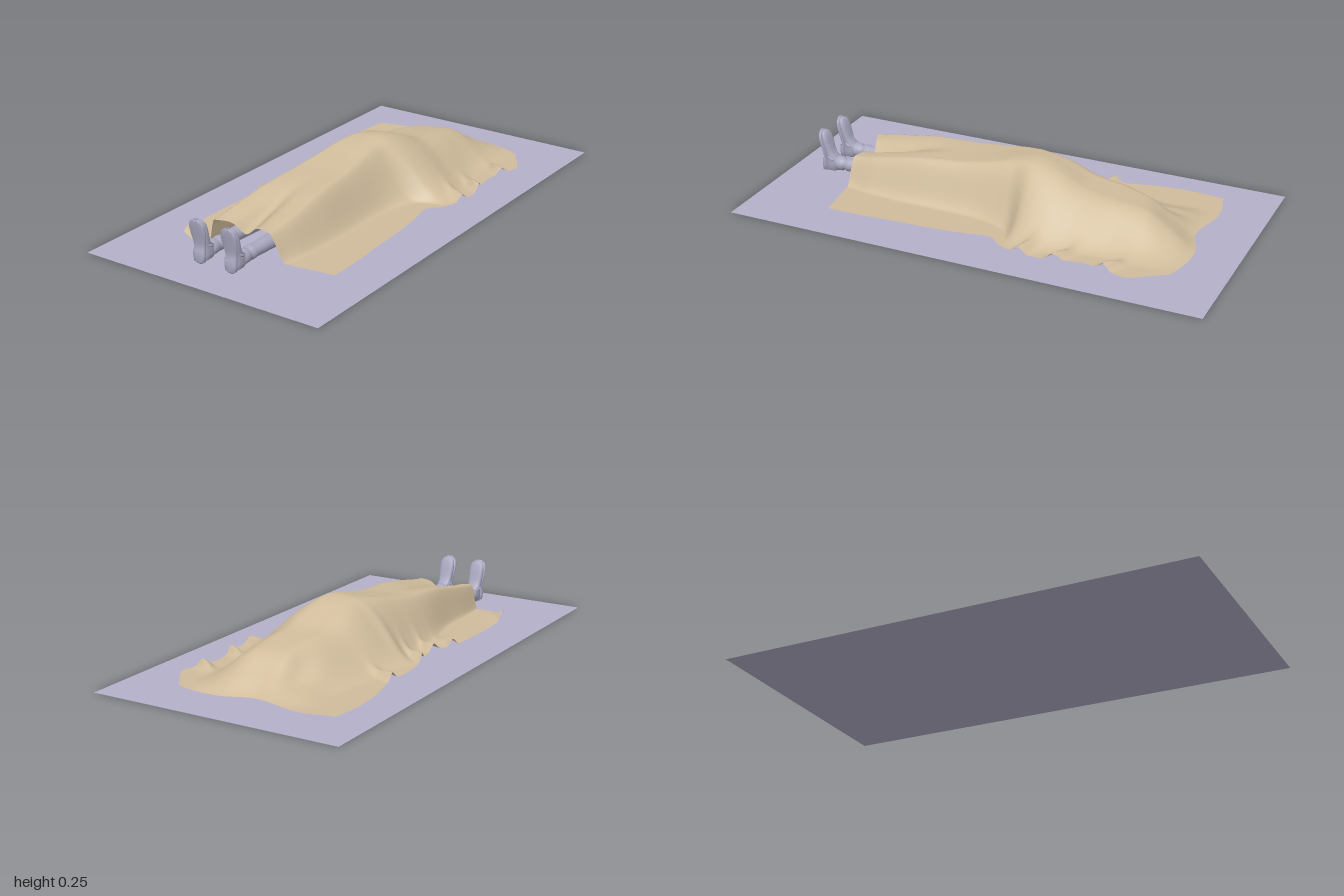
import * as THREE from 'three';

const clothMat = new THREE.MeshStandardMaterial({ name: 'sand cloth', color: 0xd0bc9c, side: THREE.DoubleSide });
const groundMat = new THREE.MeshStandardMaterial({ name: 'lavender ground', color: 0xb3b0c9, side: THREE.DoubleSide });
const bootMat = new THREE.MeshStandardMaterial({ name: 'lavender grey', color: 0xaaa8c0 });

// Cloth sections: z, left edge, right edge, left foot, left shoulder, right shoulder, right foot, height
const SECTIONS = [
  [-0.80, -0.39, 0.31, -0.25, -0.05, 0.10, 0.30, 0.004],
  [-0.70, -0.40, 0.39, -0.28, -0.03, 0.06, 0.30, 0.062],
  [-0.60, -0.40, 0.375, -0.26, -0.04, 0.06, 0.30, 0.122],
  [-0.48, -0.385, 0.355, -0.28, -0.05, 0.07, 0.30, 0.143],
  [-0.34, -0.355, 0.385, -0.30, -0.06, 0.06, 0.34, 0.160],
  [-0.22, -0.36, 0.385, -0.32, -0.06, 0.05, 0.38, 0.205],
  [-0.12, -0.35, 0.36, -0.33, -0.05, 0.05, 0.35, 0.224],
  [-0.04, -0.33, 0.31, -0.29, -0.08, 0.05, 0.24, 0.216],
  [0.06, -0.31, 0.325, -0.27, -0.10, 0.06, 0.20, 0.198],
  [0.20, -0.35, 0.34, -0.25, -0.12, 0.07, 0.19, 0.177],
  [0.40, -0.36, 0.35, -0.20, -0.14, 0.08, 0.19, 0.160],
  [0.58, -0.355, 0.36, -0.19, -0.155, 0.085, 0.18, 0.128],
  [0.69, -0.33, 0.36, -0.185, -0.16, 0.08, 0.16, 0.110],
];
const BACK_HEM = [[-0.40, -0.78], [-0.25, -0.81], [-0.04, -0.78], [0.10, -0.825], [0.25, -0.81], [0.40, -0.75]];
const FRONT_HEM = [[-0.36, 0.66], [-0.32, 0.69], [-0.20, 0.71], [-0.04, 0.66], [0.10, 0.68], [0.37, 0.65]];

// Smooth lookup of one column in a table keyed by its first column
function lookup(table, key, col) {
  const n = table.length - 1;
  let i = 0;
  while (i < n - 1 && key > table[i + 1][0]) i++;
  const t = THREE.MathUtils.clamp((key - table[i][0]) / (table[i + 1][0] - table[i][0]), 0, 1);
  const at = (k) => table[Math.min(n, Math.max(0, k))][col];
  const [a, b, c, d] = [at(i - 1), at(i), at(i + 1), at(i + 2)];
  return b + 0.5 * t * (c - a + t * (2 * a - 5 * b + 4 * c - d + t * (3 * (b - c) + d - a)));
}

const bump = (x, centre, width) => Math.exp(-(((x - centre) / width) ** 2));
const ramp = THREE.MathUtils.smoothstep;

function clothHeight(x, z, left, right) {
  const [fl, sl, sr, fr, top] = [3, 4, 5, 6, 7].map((c) => lookup(SECTIONS, z, c));
  let y = top * ramp(x, fl, sl) * (1 - ramp(x, sr, fr));
  // rounded crown over the body
  y += 0.012 * bump(x, 0.02, 0.07) * bump(z, -0.12, 0.16);
  // sag between the shins
  y -= 0.045 * bump(x, -0.04, 0.04) * ramp(z, 0.25, 0.7);
  // hollow beside the head, and the fold running out from the hip
  y -= 0.03 * bump(x, -0.12, 0.05) * bump(z, -0.62, 0.09);
  y -= 0.018 * bump(z, -0.06 - 0.25 * (x - 0.15), 0.03) * bump(x, 0.22, 0.08);
  y += 0.014 * bump(z, -0.11, 0.03) * bump(x, -0.2, 0.09);
  // puckers along the long hems
  for (const c of [-0.32, -0.05, 0.08, 0.19])
    y += 0.032 * bump(z, c + 0.25 * (x - left), 0.022) * bump(x, left + 0.02, 0.07);
  for (const c of [-0.58, -0.37, -0.22])
    y += 0.03 * bump(z, c - 0.2 * (right - x), 0.025) * bump(x, right - 0.02, 0.06);
  y += 0.025 * bump(x, left, 0.04) * bump(z, 0.66, 0.04);
  return 0.012 + Math.max(0, y);
}

function makeCloth() {
  const geo = new THREE.PlaneGeometry(1, 1, 110, 150).rotateX(-Math.PI / 2);
  const p = geo.attributes.position;
  for (let i = 0; i < p.count; i++) {
    const u = p.getX(i) + 0.5;
    const v = p.getZ(i) + 0.5;
    const key = THREE.MathUtils.lerp(-0.8, 0.69, v);
    const left = lookup(SECTIONS, key, 1);
    const right = lookup(SECTIONS, key, 2);
    const x = THREE.MathUtils.lerp(left, right, u);
    const z = THREE.MathUtils.lerp(lookup(BACK_HEM, x, 1), lookup(FRONT_HEM, x, 1), v);
    p.setXYZ(i, x, clothHeight(x, key, left, right), z);
  }
  geo.computeVertexNormals();
  return new THREE.Mesh(geo, clothMat);
}

// Closed loft through rounded sections stacked in y: [y, half width, z back, z front]
function loftUp(rows, sides = 24) {
  const pos = [];
  const index = [];
  const squash = (c) => Math.sign(c) * Math.abs(c) ** 0.75;
  for (const [y, w, z0, z1] of rows)
    for (let k = 0; k < sides; k++) {
      const a = (k / sides) * Math.PI * 2;
      pos.push(w * squash(Math.sin(a)), y, (z0 + z1) / 2 + ((z1 - z0) / 2) * squash(Math.cos(a)));
    }
  for (let r = 0; r < rows.length - 1; r++)
    for (let k = 0; k < sides; k++) {
      const a = r * sides + k;
      const b = r * sides + ((k + 1) % sides);
      index.push(a, b, b + sides, a, b + sides, a + sides);
    }
  const last = (rows.length - 1) * sides;
  for (let k = 1; k < sides - 1; k++) index.push(0, k + 1, k, last, last + k, last + k + 1);
  const geo = new THREE.BufferGeometry();
  geo.setAttribute('position', new THREE.Float32BufferAttribute(pos, 3));
  geo.setIndex(index);
  geo.computeVertexNormals();
  return geo;
}

function makeLeg(side) {
  const leg = new THREE.Group();
  const add = (name, geo) => {
    const mesh = new THREE.Mesh(geo, bootMat);
    mesh.name = name;
    leg.add(mesh);
  };
  // upper of the shoe, heel at the bottom and toe at the top
  add('shoeUpper', loftUp([
    [0.014, 0.014, 0.795, 0.838], [0.022, 0.024, 0.778, 0.842], [0.045, 0.028, 0.768, 0.842],
    [0.070, 0.027, 0.775, 0.840], [0.085, 0.028, 0.800, 0.840], [0.115, 0.031, 0.812, 0.843],
    [0.145, 0.033, 0.820, 0.848], [0.170, 0.031, 0.828, 0.853], [0.184, 0.023, 0.836, 0.856],
    [0.189, 0.010, 0.842, 0.856],
  ]));
  // sole with a raised heel block
  add('sole', loftUp([
    [0.010, 0.012, 0.834, 0.850], [0.018, 0.024, 0.832, 0.856], [0.040, 0.028, 0.832, 0.857],
    [0.064, 0.027, 0.832, 0.856], [0.070, 0.025, 0.832, 0.848], [0.095, 0.028, 0.833, 0.850],
    [0.130, 0.035, 0.838, 0.857], [0.160, 0.036, 0.845, 0.863], [0.180, 0.029, 0.850, 0.866],
    [0.192, 0.012, 0.854, 0.866],
  ]));
  // shin and stacked cuffs, turned about the leg axis
  const shin = [[0, 0.45], [0.034, 0.45], [0.028, 0.68], [0.026, 0.715], [0.029, 0.72], [0.029, 0.74],
    [0.024, 0.745], [0.024, 0.757], [0.030, 0.762], [0.031, 0.785], [0.026, 0.795], [0, 0.80]];
  const lathe = new THREE.LatheGeometry(shin.map(([r, z]) => new THREE.Vector2(r, z)), 24);
  add('shin', lathe.rotateX(Math.PI / 2).translate(0, 0.05, 0));
  // strap across the instep
  const strap = new THREE.TorusGeometry(0.027, 0.005, 8, 24).rotateX(Math.PI / 2 - 0.5);
  add('strap', strap.translate(0, 0.075, 0.812));
  leg.name = side > 0 ? 'leftLeg' : 'rightLeg';
  leg.position.x = -0.04 + side * 0.074;
  return leg;
}

export function createModel() {
  const model = new THREE.Group();
  model.name = 'coveredFigure';

  const ground = new THREE.Mesh(new THREE.PlaneGeometry(1.075, 2).rotateX(-Math.PI / 2), groundMat);
  ground.name = 'groundSheet';

  const cloth = makeCloth();
  cloth.name = 'clothCover';

  model.add(ground, cloth, makeLeg(-1), makeLeg(1));
  return model;
}
